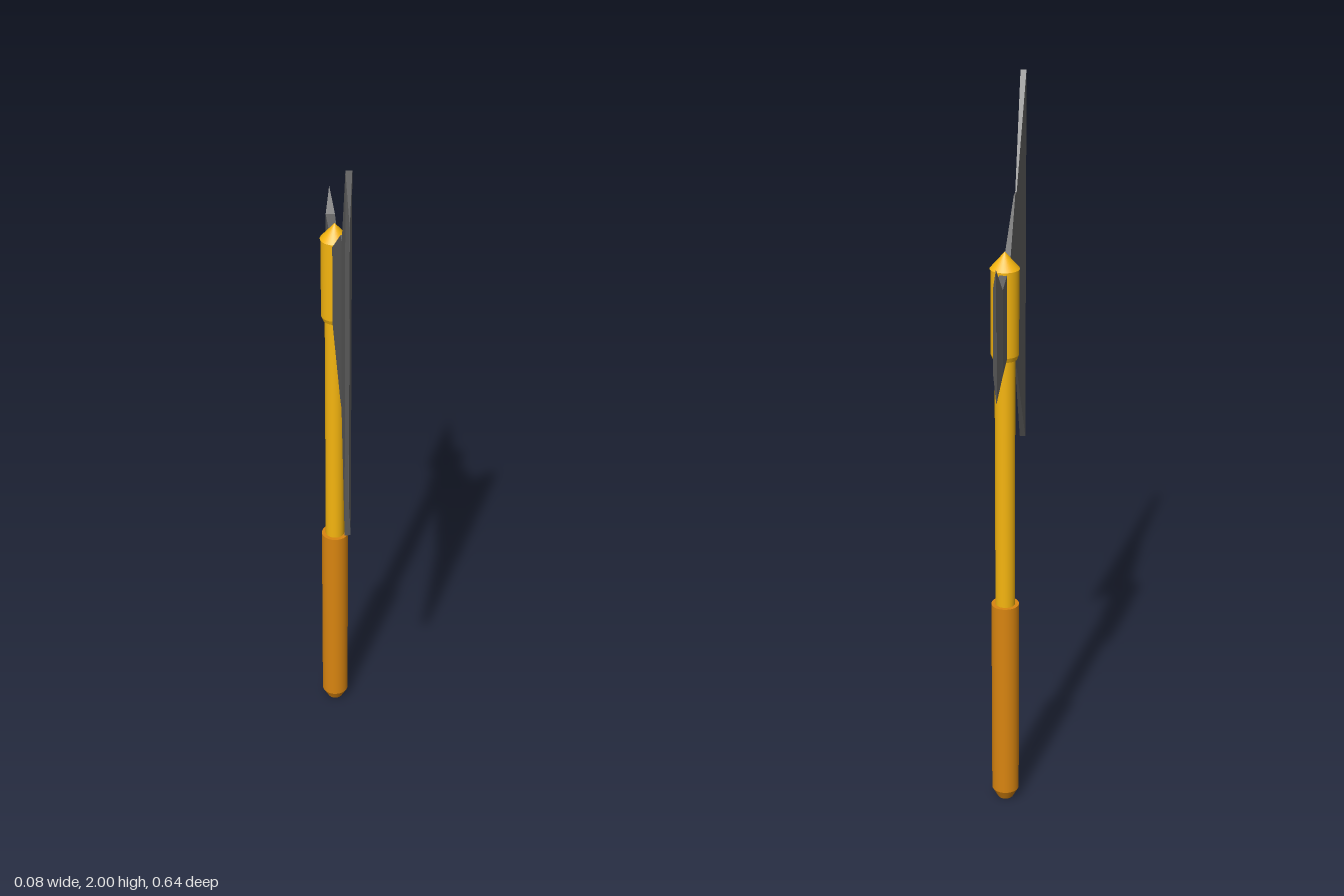
import * as THREE from 'three';

const AXIS_Z = -0.135; // handle axis
const MID_Y = 1.47;    // mid-height of the axe head

const gold = new THREE.MeshStandardMaterial({ color: 0xf5b50f });
const leather = new THREE.MeshStandardMaterial({ color: 0xd98510 });
const steel = new THREE.MeshStandardMaterial({ color: 0x646464, flatShading: true });

// Round handle piece between two heights
function turned(name, y0, y1, r0, r1, material) {
  const mesh = new THREE.Mesh(new THREE.CylinderGeometry(r1, r0, y1 - y0, 32), material);
  mesh.name = name;
  mesh.position.set(0, (y0 + y1) / 2, AXIS_Z);
  return mesh;
}

// Loft through rectangular sections [z, halfHeight, halfThickness], in order of rising z
function blade(name, sections) {
  const positions = [];
  const index = [];
  for (const [z, h, t] of sections) {
    positions.push(-t, MID_Y - h, z, t, MID_Y - h, z, t, MID_Y + h, z, -t, MID_Y + h, z);
  }
  const last = (sections.length - 1) * 4;
  for (let s = 0; s < last; s += 4) {
    for (let i = 0; i < 4; i++) {
      const a = s + i, b = s + (i + 1) % 4;
      index.push(a, b, b + 4, a, b + 4, a + 4);
    }
  }
  index.push(0, 2, 1, 0, 3, 2, last, last + 1, last + 2, last, last + 2, last + 3);
  const indexed = new THREE.BufferGeometry();
  indexed.setAttribute('position', new THREE.Float32BufferAttribute(positions, 3));
  indexed.setIndex(index);
  const geometry = indexed.toNonIndexed();
  geometry.computeVertexNormals();
  const mesh = new THREE.Mesh(geometry, steel);
  mesh.name = name;
  return mesh;
}

export function createModel() {
  const model = new THREE.Group();
  model.name = 'battleAxe';

  // Handle, from the pommel up to the pointed cap
  model.add(
    turned('pommel', 0, 0.03, 0.022, 0.038, leather),
    turned('grip', 0.03, 0.625, 0.038, 0.038, leather),
    turned('shaft', 0.62, 1.35, 0.027, 0.027, gold),
    turned('collarBevel', 1.345, 1.358, 0.032, 0.037, gold),
    turned('collar', 1.358, 1.59, 0.037, 0.037, gold),
    turned('cap', 1.59, 1.635, 0.039, 0, gold),
  );

  // Large front blade, thinning at the waist and sharpened at the edge
  model.add(blade('mainBlade', [
    [AXIS_Z, 0.113, 0.009],
    [-0.1, 0.113, 0.009],
    [0.08, 0.247, 0.002],
    [0.115, 0.247, 0.002],
    [0.29, 0.53, 0.008],
    [0.318, 0.4, 0.0003],
  ]));

  // Small flared blade at the back
  model.add(blade('rearBlade', [
    [-0.318, 0.177, 0.0003],
    [-0.282, 0.113, 0.0125],
    [AXIS_Z, 0.113, 0.009],
  ]));

  return model;
}
